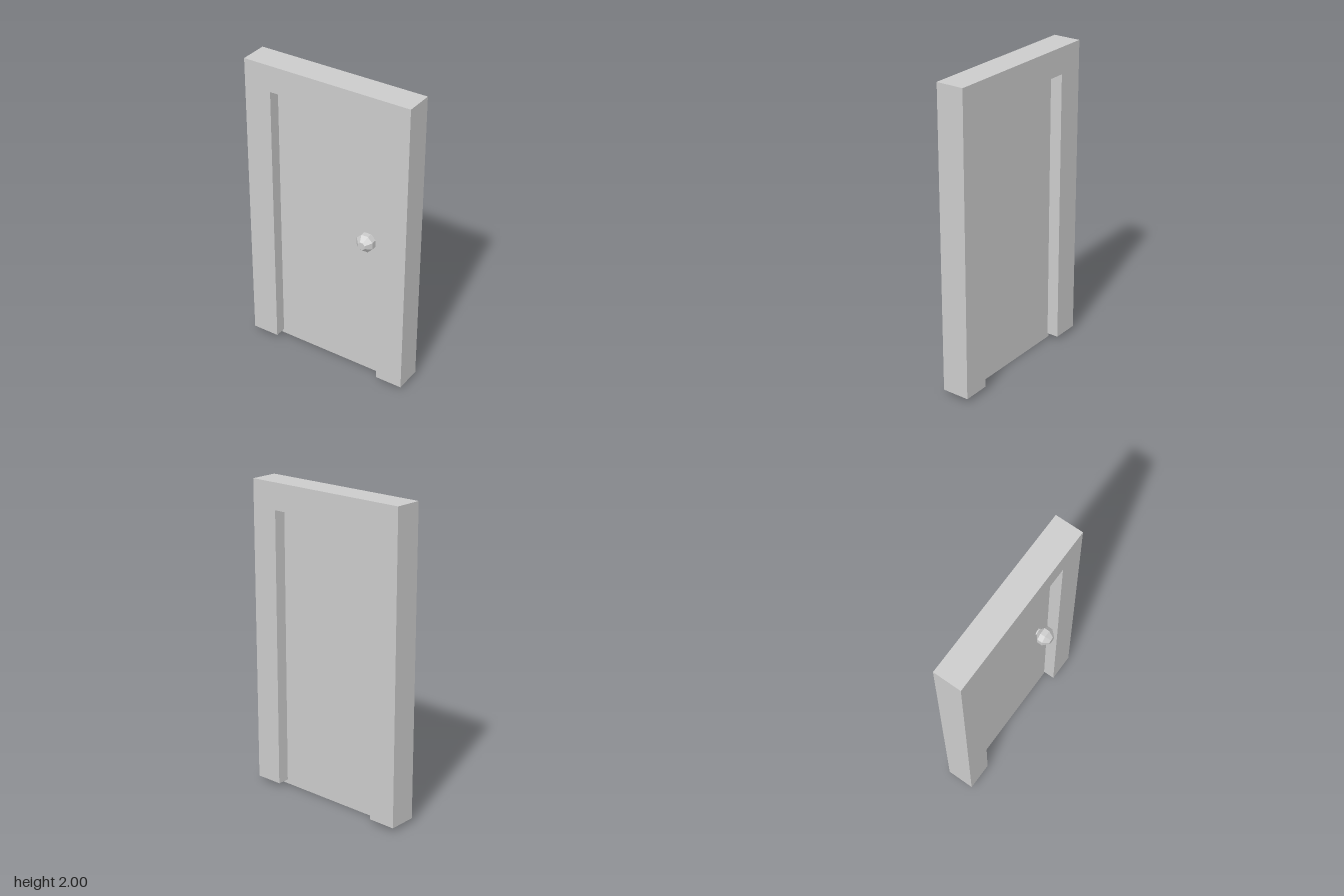
import * as THREE from 'three';

export function createModel() {
  const model = new THREE.Group();
  const material = new THREE.MeshStandardMaterial({ color: 0xcccccc, flatShading: true });

  const add = (name, geometry, x = 0, y = 0, z = 0) => {
    const mesh = new THREE.Mesh(geometry, material);
    mesh.name = name;
    mesh.position.set(x, y, z);
    model.add(mesh);
    return mesh;
  };

  // Frame: one solid arch of two jambs and a lintel
  const bottom = 0.026, opening = 0.384, openingTop = 1.83, half = 0.565;
  const outline = new THREE.Shape([
    [-half, bottom], [-opening, bottom], [-opening, openingTop], [opening, openingTop],
    [opening, bottom], [half, bottom], [half, 2], [-half, 2],
  ].map(([x, y]) => new THREE.Vector2(x, y)));
  add('doorFrame', new THREE.ExtrudeGeometry(outline, { depth: 0.182, bevelEnabled: false }), 0, 0, -0.105);

  // Door panel: edges tucked into the jambs, reaching below the frame
  add('doorPanel', new THREE.BoxGeometry(0.815, 1.845, 0.026), 0.011, 0.9225, -0.013);

  // Knob: faceted eight-sided turning on a short stem, front side only
  const toCorner = 1 / Math.cos(Math.PI / 8);
  const profile = [
    [0.024, -0.01], [0.024, 0.008], [0.055, 0.034], [0.055, 0.069], [0.024, 0.105], [0, 0.105],
  ].map(([r, h]) => new THREE.Vector2(r * toCorner, h));
  const knob = new THREE.LatheGeometry(profile, 8);
  knob.rotateY(Math.PI / 8);
  knob.rotateX(Math.PI / 2);
  add('doorKnob', knob, 0.277, 1.005, 0);

  return model;
}
